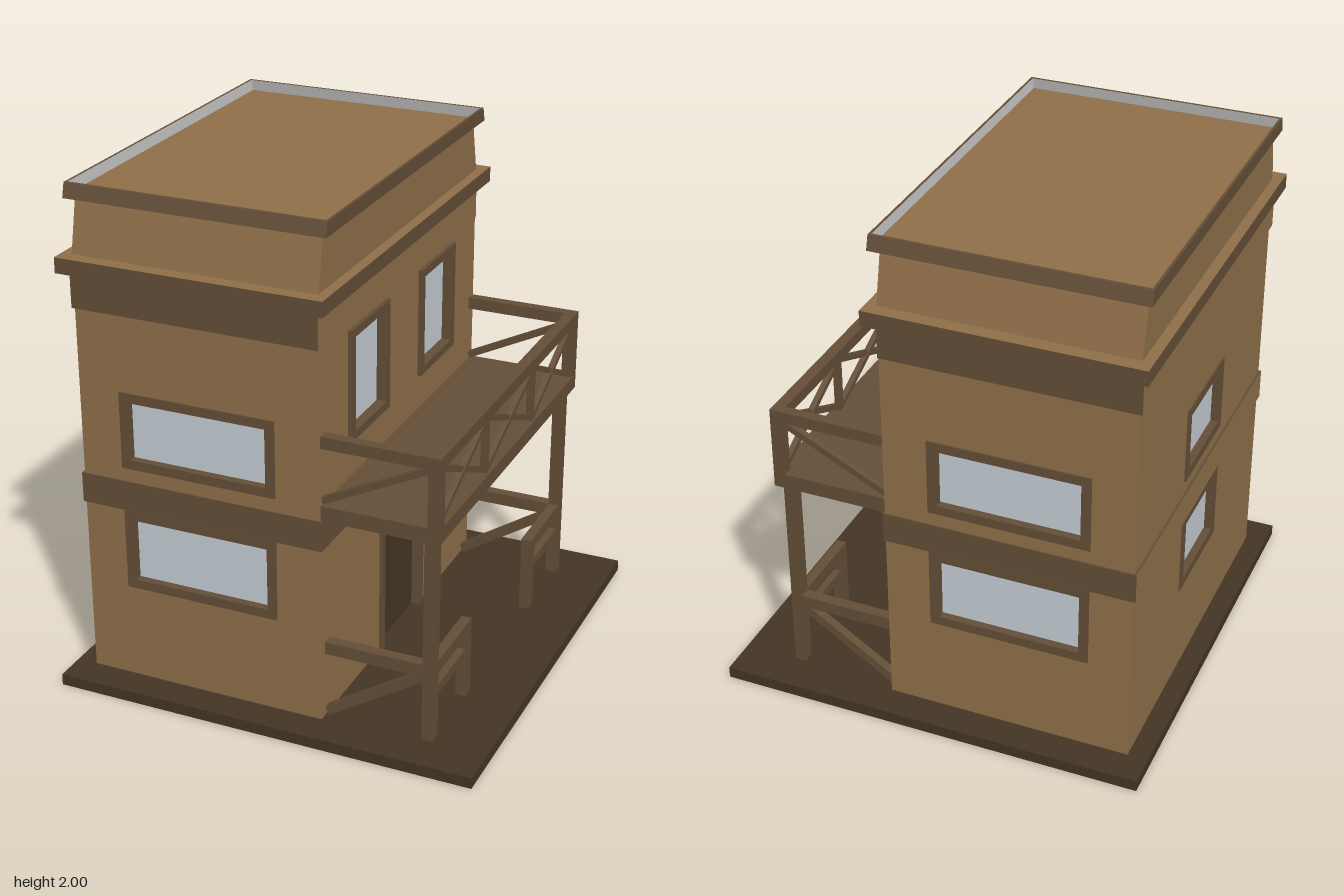
import * as THREE from 'three';

const mat = (color) => new THREE.MeshStandardMaterial({ color, flatShading: true });

export function createModel() {
  const root = new THREE.Group();
  const wood = mat(0x8f6f49), trim = mat(0x644e37), dark = mat(0x443524);
  const glass = mat(0xc4ccd4), grey = mat(0xcccccc);

  const add = (parent, name, geo, material) => {
    const m = new THREE.Mesh(geo, material);
    m.name = name;
    parent.add(m);
    return m;
  };
  const group = (name) => {
    const g = new THREE.Group();
    g.name = name;
    root.add(g);
    return g;
  };
  // Box from its limits; material may be one or six (+x, -x, +y, -y, +z, -z)
  const box = (parent, name, x0, x1, y0, y1, z0, z1, material) => {
    const g = new THREE.BoxGeometry(x1 - x0, y1 - y0, z1 - z0);
    g.translate((x0 + x1) / 2, (y0 + y1) / 2, (z0 + z1) / 2);
    return add(parent, name, g, material);
  };
  // Square bar between two points
  const bar = (parent, name, a, b, t) => {
    const p = new THREE.Vector3(...a), q = new THREE.Vector3(...b);
    const m = add(parent, name, new THREE.BoxGeometry(t, t, p.distanceTo(q)), trim);
    m.position.copy(p).lerp(q, 0.5);
    m.lookAt(q);
    return m;
  };
  // Narrow a mesh in z from full size at y0 to a scale of s at y1
  const taper = (mesh, y0, y1, s) => {
    const p = mesh.geometry.attributes.position;
    for (let i = 0; i < p.count; i++) {
      p.setZ(i, p.getZ(i) * (1 + (s - 1) * (p.getY(i) - y0) / (y1 - y0)));
    }
    mesh.geometry.computeVertexNormals();
  };
  const rect = (T, x0, x1, y0, y1) => new T().moveTo(x0, y0).lineTo(x1, y0).lineTo(x1, y1).lineTo(x0, y1).closePath();
  const plate = (outer, holes, z0, z1) => {
    const s = rect(THREE.Shape, ...outer);
    for (const h of holes) s.holes.push(rect(THREE.Path, ...h));
    return new THREE.ExtrudeGeometry(s, { depth: z1 - z0, bevelEnabled: false }).translate(0, 0, z0);
  };

  // Ground slab
  box(root, 'base', -0.845, 0.845, 0, 0.045, -0.87, 0.87, [dark, dark, dark, grey, dark, dark]);

  // Walls, each with framed and recessed openings [u0, u1, v0, v1] (outer frame)
  const T = 0.04, X0 = -0.765, X1 = 0.2, Z = 0.745;
  const wall = (name, angle, dist, u0, u1, proud, openings) => {
    const g = group(name);
    g.rotation.y = angle;
    const holes = openings.map(({ o, b }) => [o[0] + b, o[1] - b, o[2] + (o[2] < 0.1 ? 0 : b), o[3] - b]);
    const wider = holes.map((h) => [h[0] - 0.01, h[1] + 0.01, h[2] - (h[2] < 0.1 ? 0 : 0.01), h[3] + 0.01]);
    add(g, 'wallPanel', plate([u0, u1, 0.04, 1.7], wider, dist - T, dist), wood);
    openings.forEach(({ o, door }, i) => {
      const h = holes[i];
      add(g, door ? 'doorFrame' : 'windowFrame', plate(o, [h], dist - 0.035, dist + proud), trim);
      box(g, door ? 'door' : 'windowPane', h[0] - 0.005, h[1] + 0.005, h[2] - 0.005, h[3] + 0.005,
        dist - 0.034, dist - 0.025, door ? dark : glass);
    });
  };
  const rows = [[0.43, 0.755], [0.93, 1.235]];
  const pair = (a, b) => rows.map(([lo, hi]) => ({ o: [a, b, lo, hi], b: 0.037 }));
  wall('frontWall', 0, Z, X0, X1, 0.006, pair(-0.6, 0.025));
  wall('backWall', Math.PI, Z, -X1, -X0, 0.006, pair(-0.025, 0.6));
  wall('rearSideWall', -Math.PI / 2, -X0, -Z + T, Z - T, 0.006, pair(-0.21, 0.21));
  wall('entranceWall', Math.PI / 2, X1, -Z + T, Z - T, 0.015, [
    { o: [-0.5, -0.153, 1.08, 1.515], b: 0.033 },
    { o: [0.153, 0.5, 1.08, 1.515], b: 0.033 },
    { o: [-0.208, 0.208, 0.042, 0.755], b: 0.025, door: true },
  ]);

  // Bands around the storeys and the cornice
  box(root, 'middleBand', -0.775, 0.207, 0.755, 0.875, -0.75, 0.75, [trim, wood, trim, trim, trim, trim]);
  box(root, 'upperBand', -0.775, 0.201, 1.535, 1.68, -0.752, 0.752, [wood, wood, trim, trim, trim, trim]);
  box(root, 'cornice', -0.805, 0.24, 1.68, 1.74, -0.8, 0.8, [trim, trim, wood, grey, trim, trim]);

  // Tapered attic and its thin parapet rim
  taper(box(root, 'attic', X0, X1, 1.74, 1.945, -Z, Z, wood), 1.74, 1.945, 0.94);
  box(root, 'roof', -0.785, 0.225, 1.946, 1.955, -0.732, 0.732, [trim, trim, wood, grey, trim, trim]);
  const rim = group('parapet');
  for (const s of [-1, 1]) {
    const zs = [s * 0.733, s * 0.745].sort((a, b) => a - b);
    const faces = [trim, trim, trim, grey, s > 0 ? trim : grey, s > 0 ? grey : trim];
    taper(box(rim, 'parapetSide', -0.79, 0.23, 1.945, 2, ...zs, faces), 1.945, 2, 0.98);
    const xs = s > 0 ? [0.22, 0.23] : [-0.79, -0.78];
    const ends = [s > 0 ? trim : grey, s > 0 ? grey : trim, trim, grey, trim, trim];
    taper(box(rim, 'parapetEnd', ...xs, 1.945, 2, -0.733, 0.733, ends), 1.945, 2, 0.98);
  }

  // Balcony floor, rails and cross braces
  const balcony = group('balcony');
  box(balcony, 'balconyFloor', 0.2, 0.655, 0.875, 0.935, -0.74, 0.74, trim);
  box(balcony, 'frontRail', 0.61, 0.655, 1.16, 1.207, -0.74, 0.74, trim);
  for (const z of [-0.248, 0.248]) {
    box(balcony, 'railPost', 0.62, 0.645, 0.93, 1.165, z - 0.013, z + 0.013, trim);
  }
  for (const [a, b] of [[-0.7, -0.25], [-0.25, 0.25], [0.25, 0.7]]) {
    bar(balcony, 'crossBrace', [0.63, 0.945, a], [0.63, 1.155, b], 0.022);
    bar(balcony, 'crossBrace', [0.634, 1.155, a], [0.634, 0.945, b], 0.022);
  }
  const porch = group('porch');
  for (const s of [-1, 1]) {
    const span = (a, b) => (s > 0 ? [a, b] : [-b, -a]);
    box(balcony, 'sideRail', 0.2, 0.61, 1.16, 1.207, ...span(0.698, 0.74), trim);
    box(balcony, 'cornerPost', 0.608, 0.655, 0.93, 1.165, ...span(0.698, 0.74), trim);
    bar(balcony, 'sideBrace', [0.2, 0.95, s * 0.719], [0.615, 1.155, s * 0.719], 0.025);

    // Porch columns with side rail, brace and low fence
    box(porch, 'column', 0.588, 0.632, 0.04, 0.88, ...span(0.665, 0.715), trim);
    box(porch, 'porchSideRail', 0.2, 0.59, 0.31, 0.36, ...span(0.668, 0.712), trim);
    bar(porch, 'porchSideBrace', [0.205, 0.06, s * 0.69], [0.6, 0.315, s * 0.69], 0.035);
    box(porch, 'fenceTopRail', 0.59, 0.63, 0.31, 0.36, ...span(0.33, 0.667), trim);
    box(porch, 'fenceLowRail', 0.595, 0.625, 0.212, 0.25, ...span(0.375, 0.667), trim);
    box(porch, 'fencePost', 0.59, 0.63, 0.04, 0.312, ...span(0.33, 0.38), trim);
  }
  return root;
}
